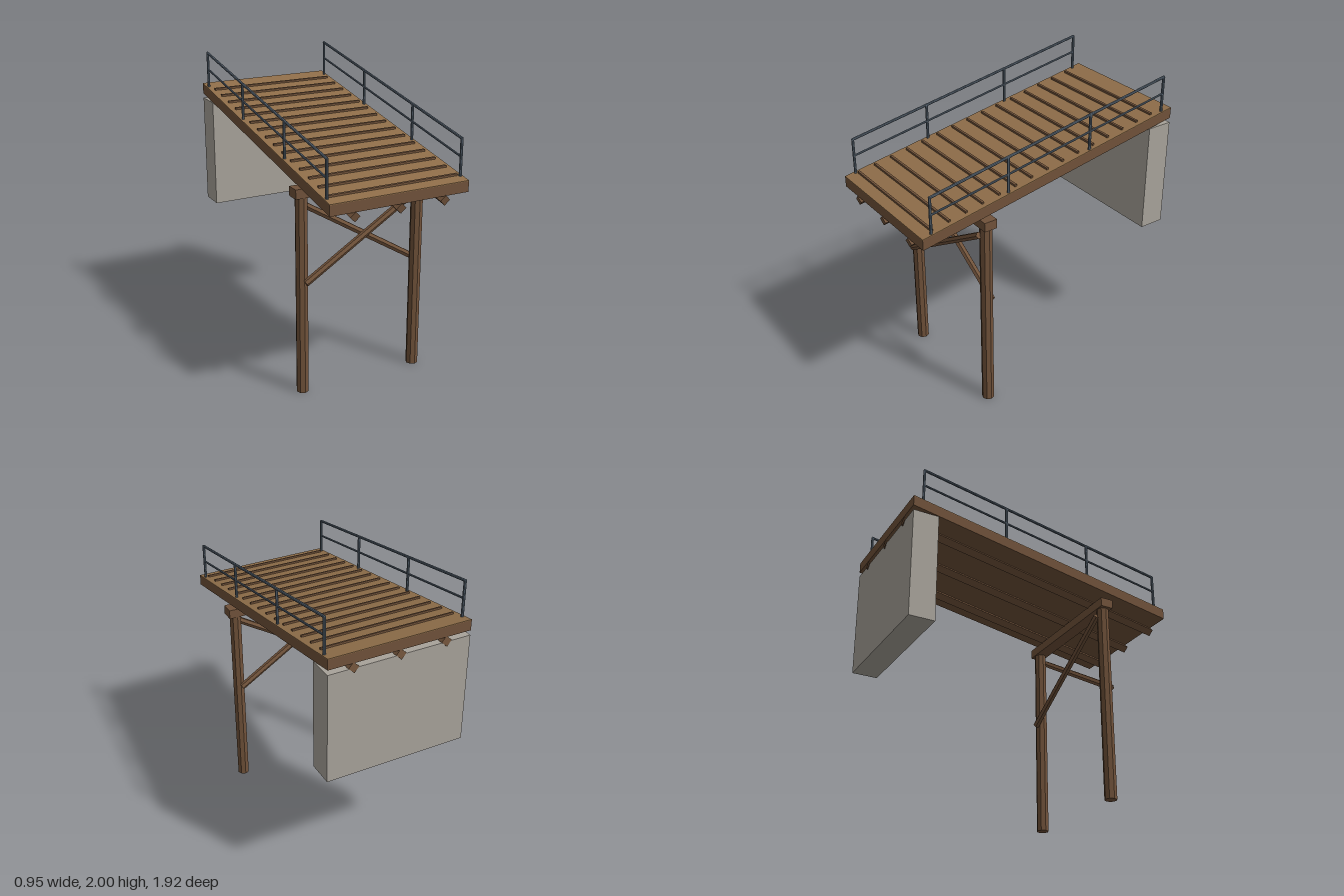
import * as THREE from 'three';

const SLOPE = 0.172;                              // deck rises towards the back
const deckY = z => 1.602 - SLOPE * z;             // height of the deck surface

function mat(name, color) {
  const m = new THREE.MeshStandardMaterial({ color });
  m.name = name;
  return m;
}

export function createModel() {
  const group = new THREE.Group();
  const plank = mat('deck timber', 0x8f6e49);
  const timber = mat('dark timber', 0x70523a);
  const steel = mat('railing steel', 0x5f6d7b);
  const concrete = mat('concrete', 0xa8a39a);

  const add = (name, geo, material) => {
    const mesh = new THREE.Mesh(geo, material);
    mesh.name = name;
    group.add(mesh);
    return mesh;
  };
  const box = (name, m, w, h, d, x, y, z) =>
    add(name, new THREE.BoxGeometry(w, h, d).translate(x, y, z), m);

  // Box that follows the deck slope while its ends stay vertical; y is the offset from the surface
  const slopedBox = (name, m, w, h, d, y, z) => {
    const geo = new THREE.BoxGeometry(w, h, d).translate(0, y, z);
    const p = geo.attributes.position;
    for (let i = 0; i < p.count; i++) p.setY(i, p.getY(i) + deckY(p.getZ(i)));
    geo.computeVertexNormals();
    return add(name, geo, m);
  };

  // Straight faceted bar between two points
  const bar = (name, m, a, b, r, sides) => {
    const from = new THREE.Vector3(...a), to = new THREE.Vector3(...b);
    const dir = to.clone().sub(from);
    const geo = new THREE.CylinderGeometry(r, r, dir.length(), sides).toNonIndexed();
    geo.computeVertexNormals();
    const mesh = add(name, geo, m);
    mesh.position.copy(from).add(to).multiplyScalar(0.5);
    mesh.quaternion.setFromUnitVectors(new THREE.Vector3(0, 1, 0), dir.normalize());
    return mesh;
  };

  // Deck slab with its walking surface
  slopedBox('deckBody', timber, 0.955, 0.068, 1.91, -0.039, 0);
  slopedBox('deckSurface', plank, 0.955, 0.005, 1.91, -0.0025, 0);

  // Anti-slip cleats
  for (let i = 0; i < 15; i++) {
    slopedBox('cleat', timber, 0.89, 0.016, 0.014, 0.005, 0.872 - i * 0.12);
  }

  // Diamond-section stringers under the deck
  for (const x of [-0.31, 0, 0.31]) {
    bar('stringer', timber, [x, deckY(0.955) - 0.102, 0.955], [x, deckY(-0.955) - 0.102, -0.955], 0.034, 4);
  }

  // Trestle: cap beam, two posts and crossed braces
  box('capBeam', timber, 0.955, 0.062, 0.09, 0, 1.367, 0.48);
  for (const s of [-1, 1]) {
    bar('post', timber, [s * 0.42, 0, 0.48], [s * 0.42, 1.337, 0.48], 0.041, 8);
    bar('crossBrace', timber, [-0.415, 1.03 - s * 0.255, 0.48 + s * 0.045],
      [0.415, 1.03 + s * 0.255, 0.48 + s * 0.045], 0.023, 6);
  }

  // Concrete abutment at the high end
  box('abutment', concrete, 0.955, 0.745, 0.175, 0, 1.2875, -0.866);

  // Railings on both sides
  const postZ = [0.887, 0.338, -0.284, -0.883];
  for (const x of [-0.46, 0.46]) {
    for (const z of postZ) {
      bar('railPost', steel, [x, deckY(z) - 0.01, z], [x, deckY(z) + 0.238, z], 0.0095, 8);
    }
    for (const [name, h, r] of [['topRail', 0.237, 0.009], ['midRail', 0.122, 0.007]]) {
      bar(name, steel, [x, deckY(0.89) + h, 0.89], [x, deckY(-0.887) + h, -0.887], r, 8);
    }
  }
  return group;
}
